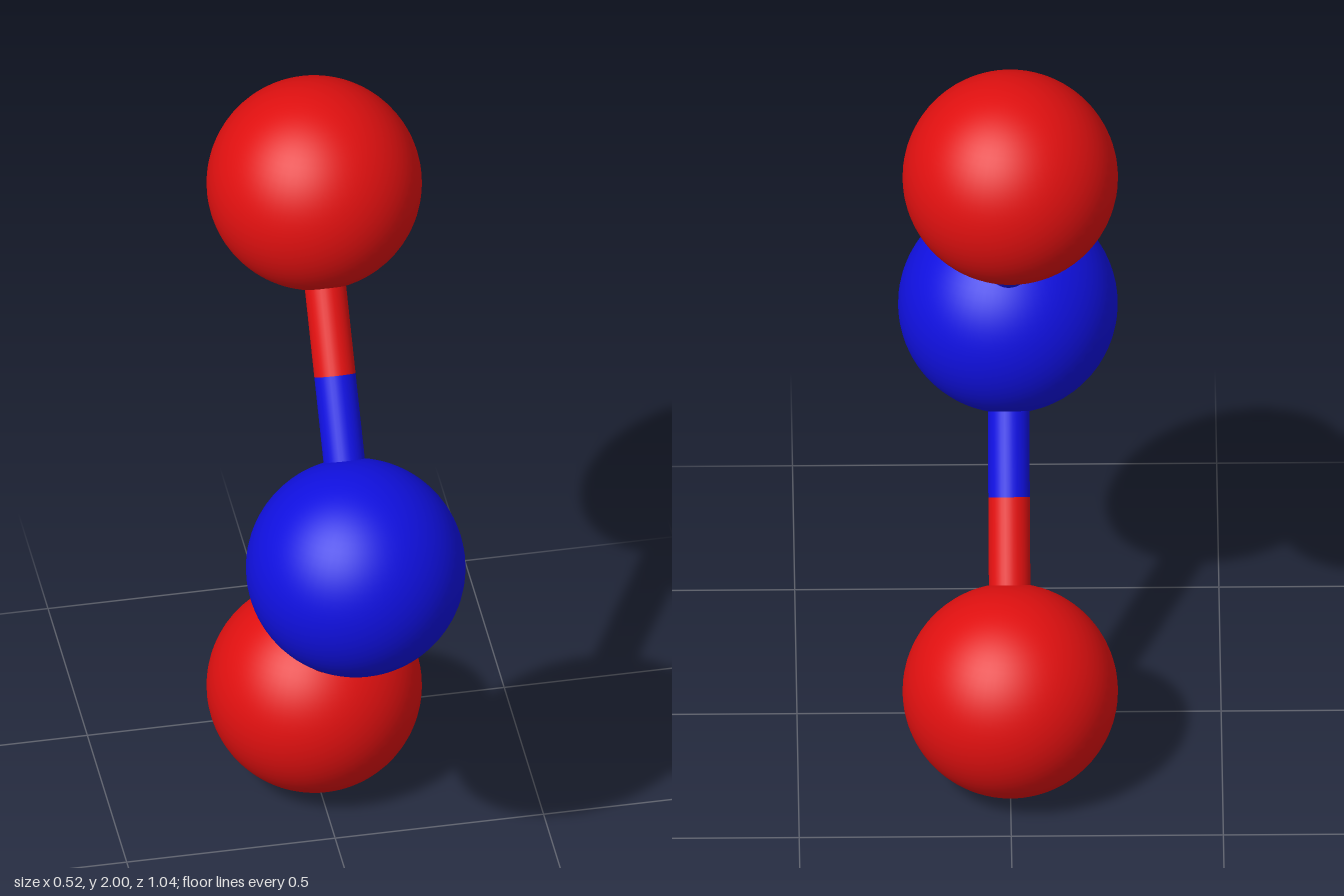
import * as THREE from 'three';

export function createModel() {
  const model = new THREE.Group();
  const red = new THREE.MeshStandardMaterial({ color: 0xe01010 });
  const blue = new THREE.MeshStandardMaterial({ color: 0x1010e0 });

  function addAtom(name, radius, position, material) {
    const atom = new THREE.Mesh(new THREE.SphereGeometry(radius, 64, 40), material);
    atom.name = name;
    atom.position.copy(position);
    model.add(atom);
  }

  // Straight rod between two points
  function addRod(name, from, to, material) {
    const along = to.clone().sub(from);
    const rod = new THREE.Mesh(new THREE.CylinderGeometry(0.049, 0.049, along.length(), 32), material);
    rod.name = name;
    rod.position.copy(from).add(to).multiplyScalar(0.5);
    rod.quaternion.setFromUnitVectors(new THREE.Vector3(0, 1, 0), along.normalize());
    model.add(rod);
  }

  // Central atom at the front
  const centre = new THREE.Vector3(0, 1, 0.261);
  addAtom('centralAtom', 0.259, centre, blue);

  // Outer atoms behind, each joined by a two-coloured bond
  for (const [side, sign] of [['upper', 1], ['lower', -1]]) {
    const outer = new THREE.Vector3(0, 1 + sign * 0.746, -0.266);
    const middle = centre.clone().lerp(outer, 0.5);
    addAtom(side + 'Atom', 0.254, outer, red);
    addRod(side + 'BondInner', centre, middle, blue);
    addRod(side + 'BondOuter', middle, outer, red);
  }
  return model;
}
